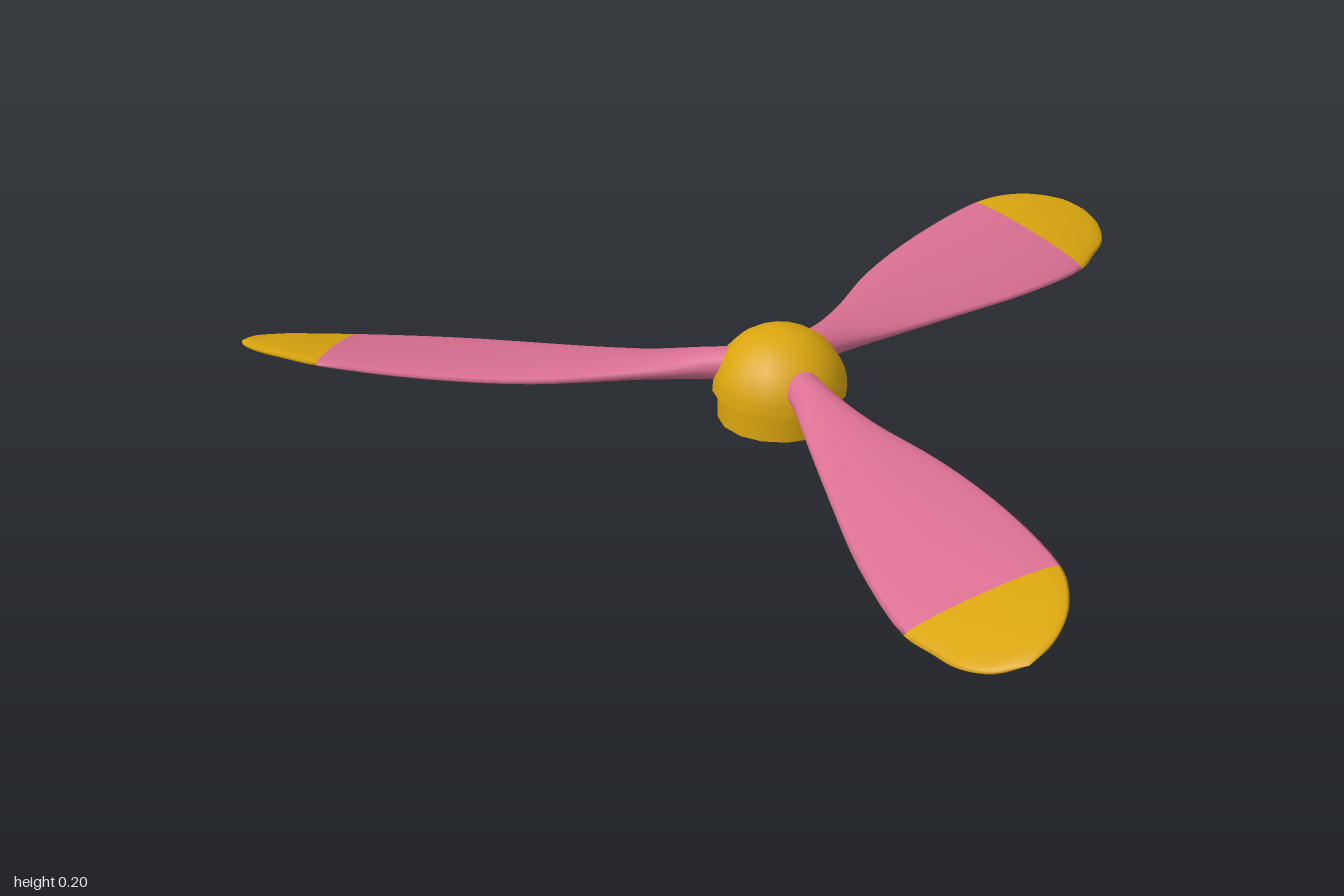
import * as THREE from 'three';

const gold = new THREE.MeshStandardMaterial({ color: 0xdaa50f, side: THREE.DoubleSide });
gold.name = 'gold';
const pink = new THREE.MeshStandardMaterial({ color: 0xdb7093, side: THREE.DoubleSide });
pink.name = 'pink';

// Blade stations: radius, trailing offset, leading offset, trailing y, leading y, half thickness
const stations = [
  [0.10, -0.034, 0.040, 0.110, 0.116, 0.036],
  [0.15, -0.037, 0.047, 0.108, 0.112, 0.034],
  [0.30, -0.062, 0.085, 0.090, 0.105, 0.024],
  [0.50, -0.097, 0.148, 0.073, 0.105, 0.019],
  [0.73, -0.132, 0.177, 0.054, 0.112, 0.017],
  [0.955, -0.140, 0.170, 0.040, 0.121, 0.017],
  [1.03, -0.121, 0.148, 0.043, 0.121, 0.017],
  [1.10, -0.100, 0.110, 0.048, 0.112, 0.015],
  [1.152, -0.057, 0.057, 0.060, 0.097, 0.011],
  [1.176, 0, 0, 0.078, 0.078, 0],
];
const LAST = stations.length - 1;
const SPLIT = 5; // station where the painted tip begins

const edge = (s, y) => new THREE.CatmullRomCurve3(
  stations.map((p) => new THREE.Vector3(p[0], p[y], -p[s])));
const trailing = edge(1, 3);
const leading = edge(2, 4);

// Loft oval sections between the two edge curves, from station a to station b
function loftBlade(a, b) {
  const sides = 20, rows = (b - a) * 4;
  const pos = [], index = [];
  for (let i = 0; i <= rows; i++) {
    const s = a + (b - a) * i / rows;
    const k = Math.min(Math.floor(s), LAST - 1);
    const half = THREE.MathUtils.lerp(stations[k][5], stations[k + 1][5], s - k);
    const t = trailing.getPoint(s / LAST), l = leading.getPoint(s / LAST);
    for (let j = 0; j < sides; j++) {
      const ang = j / sides * Math.PI * 2;
      const p = t.clone().lerp(l, 0.5 + 0.5 * Math.cos(ang));
      pos.push(p.x, p.y + half * Math.sin(ang), p.z);
    }
  }
  for (let i = 0; i < rows; i++) {
    for (let j = 0; j < sides; j++) {
      const p = i * sides + j, q = i * sides + (j + 1) % sides;
      index.push(p, q, p + sides, q, q + sides, p + sides);
    }
  }
  const geo = new THREE.BufferGeometry();
  geo.setAttribute('position', new THREE.Float32BufferAttribute(pos, 3));
  geo.setIndex(index);
  geo.computeVertexNormals();
  return geo;
}

function part(name, geometry, material) {
  const mesh = new THREE.Mesh(geometry, material);
  mesh.name = name;
  return mesh;
}

const lathe = (points) =>
  new THREE.LatheGeometry(points.map(([x, y]) => new THREE.Vector2(x, y)), 16);

export function createModel() {
  const model = new THREE.Group();
  model.name = 'propeller';

  // Hollow hub: collar, underside lip and dome
  const hub = new THREE.Group();
  hub.name = 'hub';
  const R = 0.143, base = 0.062;
  const dome = [];
  for (let i = 0; i <= 10; i++) {
    const a = i / 10 * Math.PI / 2;
    dome.push([R * Math.cos(a), base + 0.138 * Math.sin(a)]);
  }
  hub.add(
    part('hubCollar', lathe([[0.132, 0], [0.132, base]]), gold),
    part('hubLip', lathe([[0.132, base], [R, base]]), gold),
    part('hubDome', lathe(dome), gold),
  );
  model.add(hub);

  // Three twisted blades with painted tips
  const bladeGeo = loftBlade(0, SPLIT), tipGeo = loftBlade(SPLIT, LAST);
  for (const degrees of [75, 195, 315]) {
    const blade = new THREE.Group();
    blade.name = 'blade';
    blade.add(part('bladeBody', bladeGeo, pink), part('bladeTip', tipGeo, gold));
    blade.rotation.y = -THREE.MathUtils.degToRad(degrees);
    model.add(blade);
  }

  model.position.set(0.14, 0, -0.14);
  const group = new THREE.Group();
  group.name = 'model';
  group.add(model);
  return group;
}
